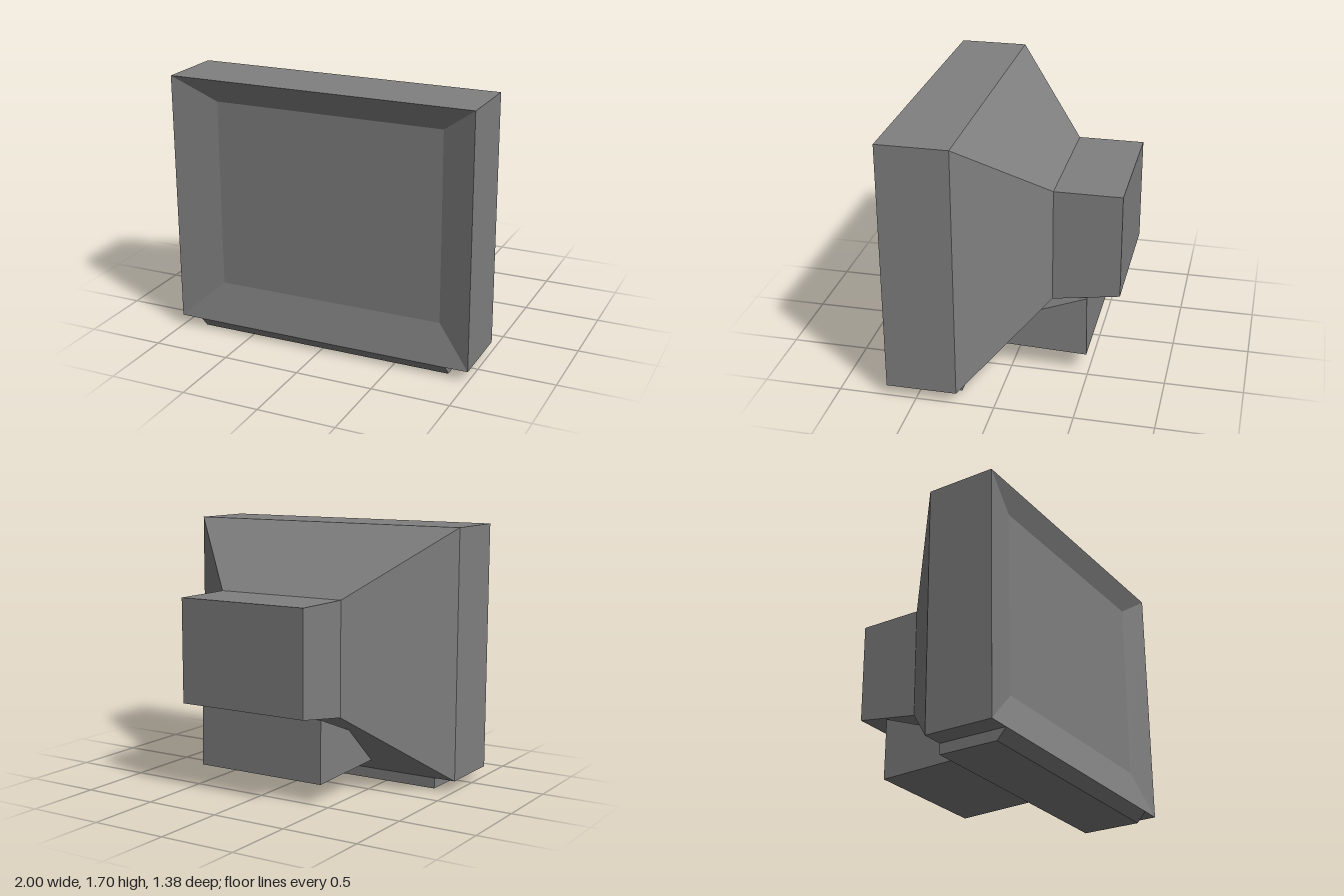
import * as THREE from 'three';

// Rectangular cross-section: left, right, bottom, top, z
const rect = (x0, x1, y0, y1, z) => [[x0, y0, z], [x1, y0, z], [x1, y1, z], [x0, y1, z]];

// Flat-shaded skin over cross-sections, ordered along the surface from front to back
function loft(sections, capFront = false, capBack = false) {
  const pos = [];
  const quad = (a, b, c, d) => pos.push(...a, ...b, ...c, ...a, ...c, ...d);
  for (let s = 0; s < sections.length - 1; s++) {
    const a = sections[s], b = sections[s + 1];
    for (let i = 0; i < 4; i++) {
      const j = (i + 1) % 4;
      quad(a[i], b[i], b[j], a[j]);
    }
  }
  if (capFront) quad(...sections[0]);
  if (capBack) quad(...sections[sections.length - 1].slice().reverse());
  const g = new THREE.BufferGeometry();
  g.setAttribute('position', new THREE.Float32BufferAttribute(pos, 3));
  g.computeVertexNormals();
  return g;
}

// Side profile of [z, y] points, extruded across x
function sideExtrude(points, x0, x1) {
  const shape = new THREE.Shape(points.map(([z, y]) => new THREE.Vector2(-z, y)));
  const g = new THREE.ExtrudeGeometry(shape, { depth: x1 - x0, bevelEnabled: false });
  return g.rotateY(Math.PI / 2).translate(x0, 0, 0);
}

export function createModel() {
  const group = new THREE.Group();
  const grey = new THREE.MeshStandardMaterial({ color: 0x808080 });
  grey.name = 'casing grey';

  const add = (name, geometry) => {
    const mesh = new THREE.Mesh(geometry, grey);
    mesh.name = name;
    group.add(mesh);
  };

  const screen = rect(-0.71, 0.79, 0.33, 1.55, 0.63);
  const rim = rect(-1, 1, 0.07, 1.7, 0.69);
  const shoulder = rect(-1, 1, 0.07, 1.7, 0.24);
  const neckFront = rect(-0.44, 0.47, 0.515, 1.26, -0.26);
  const neckBack = rect(-0.44, 0.47, 0.58, 1.26, -0.69);

  // Sunken screen with sloping surround
  add('screen', loft([screen], true));
  add('screenSurround', loft([screen, rim]));

  // Casing, tapered back and rear box
  add('casing', loft([rim, shoulder]));
  add('taperedBack', loft([shoulder, neckFront]));
  add('rearBox', loft([neckFront, neckBack], false, true));

  // Plinth under the casing, chamfered at the front
  add('plinth', sideExtrude([[0.69, 0.07], [0.63, 0], [0.24, 0], [0.24, 0.07]], -0.855, 0.855));

  // Wedge-shaped block below the rear box, meeting the tapered back
  add('rearFoot', sideExtrude([[0.15, 0.152], [-0.487, 0.132], [-0.482, 0.542], [-0.145, 0.413]], -0.435, 0.475));

  return group;
}
